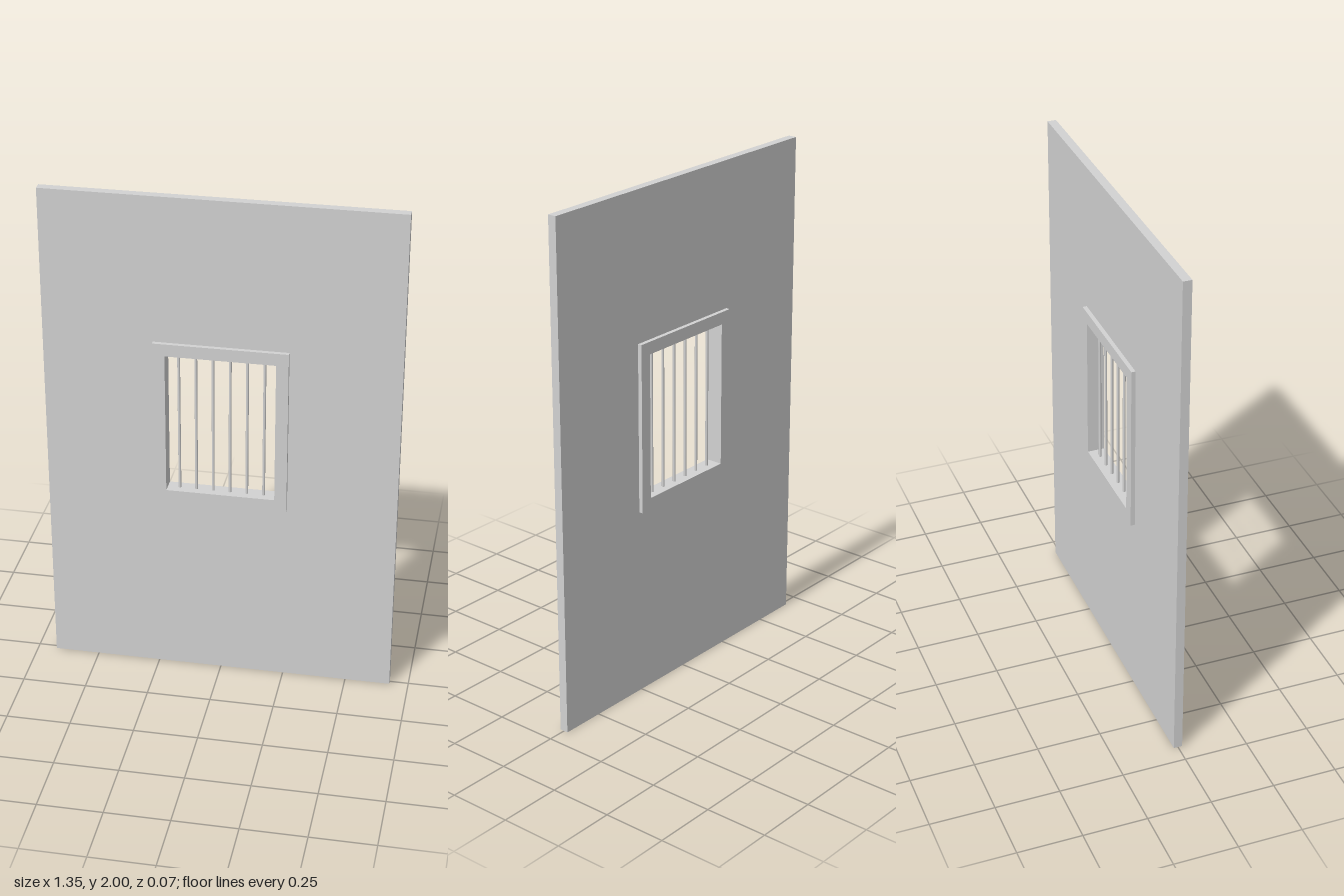
import * as THREE from 'three';

const grey = new THREE.MeshStandardMaterial({ color: 0xd2d2d2 });
grey.name = 'lightGrey';

// Rectangular slab with a rectangular hole, centred on z = 0
function slab(name, [x, y0, y1], [hx, hy0, hy1], depth) {
  const corners = (w, a, b) => [[-w, a], [w, a], [w, b], [-w, b]].map(p => new THREE.Vector2(...p));
  const shape = new THREE.Shape(corners(x, y0, y1));
  shape.holes.push(new THREE.Path(corners(hx, hy0, hy1).reverse()));
  const geometry = new THREE.ExtrudeGeometry(shape, { depth, bevelEnabled: false });
  geometry.translate(0, 0, -depth / 2);
  const mesh = new THREE.Mesh(geometry, grey);
  mesh.name = name;
  return mesh;
}

export function createModel() {
  const group = new THREE.Group();
  group.name = 'barredWindowWall';

  // Wall panel, its hole tucked inside the frame
  group.add(slab('wall', [0.676, 0, 2], [0.23, 0.78, 1.4], 0.034));

  // Window frame, standing proud on both sides
  group.add(slab('windowFrame', [0.256, 0.754, 1.422], [0.209, 0.801, 1.373], 0.067));

  // Vertical bars
  const bars = new THREE.Group();
  bars.name = 'bars';
  const barGeometry = new THREE.CylinderGeometry(0.0055, 0.0055, 0.595, 12);
  for (let i = 0; i < 6; i++) {
    const bar = new THREE.Mesh(barGeometry, grey);
    bar.name = 'bar' + (i + 1);
    bar.position.set((i - 2.5) * 0.065, 1.0875, 0);
    bars.add(bar);
  }
  group.add(bars);
  return group;
}
